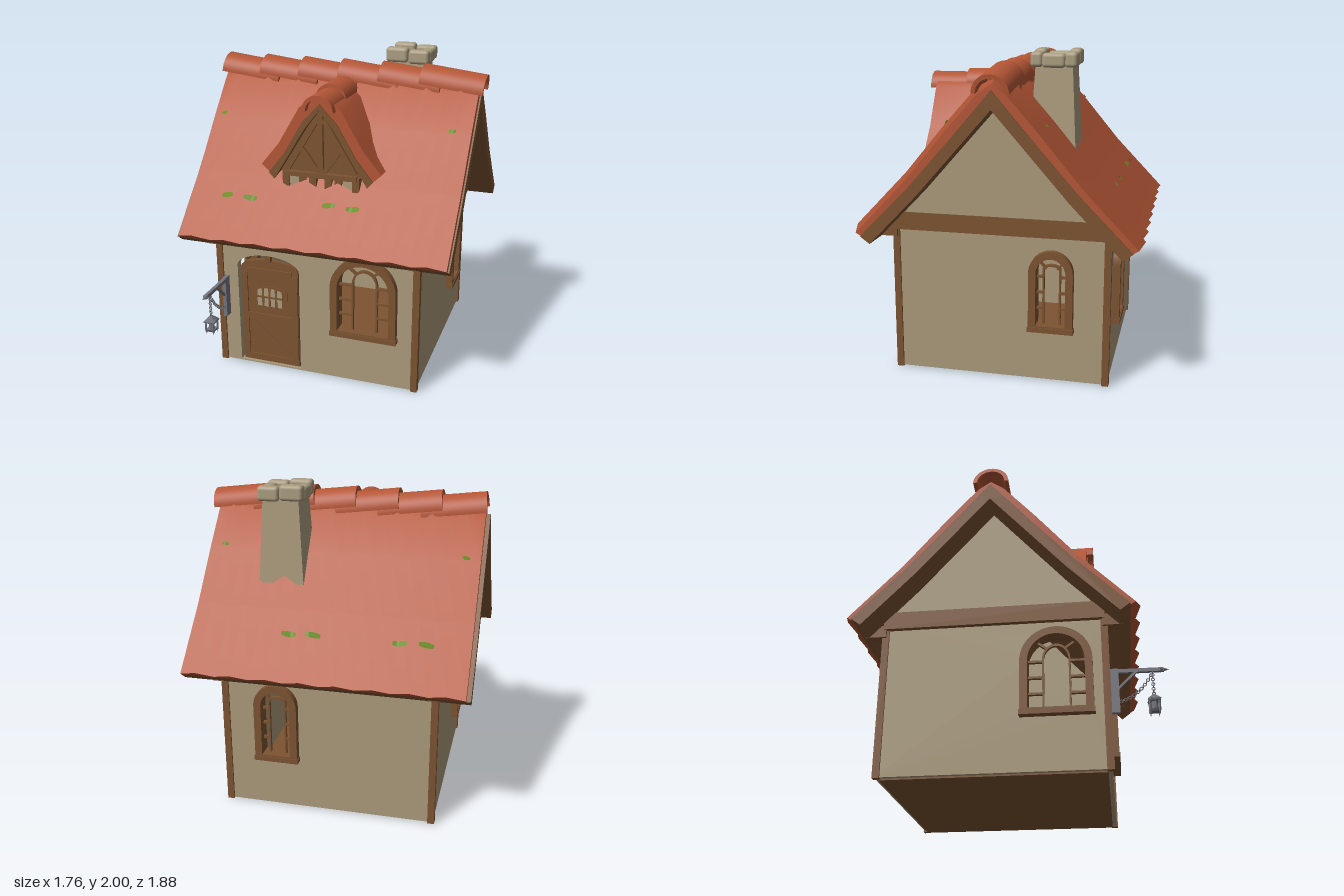
import * as THREE from 'three';
import { toCreasedNormals } from 'three/addons/utils/BufferGeometryUtils.js';
import { RoundedBoxGeometry } from 'three/addons/geometries/RoundedBoxGeometry.js';

const mat = (name, color, side = THREE.FrontSide) => {
  const m = new THREE.MeshStandardMaterial({ color, side });
  m.name = name;
  return m;
};

export function createModel() {
  const tile = mat('clay tile', 0xb45636, THREE.DoubleSide);
  const wood = mat('timber', 0x7c5331);
  const plaster = mat('plaster', 0xaa9a7b, THREE.DoubleSide);
  const stone = mat('chimney stone', 0xaa9d80);
  const metal = mat('iron', 0x75757e);
  const moss = mat('moss', 0x6a8c22, THREE.DoubleSide);
  const house = new THREE.Group();
  house.name = 'cottage';
  const CX = -0.015, CZ = -0.07;

  // ---- helpers ----
  const add = (parent, name, geo, m, x = 0, y = 0, z = 0) => {
    const mesh = new THREE.Mesh(geo, m);
    mesh.name = name;
    mesh.position.set(x, y, z);
    parent.add(mesh);
    return mesh;
  };
  const group = (parent, name, x = 0, y = 0, z = 0, ry = 0) => {
    const g = new THREE.Group();
    g.name = name;
    g.position.set(x, y, z);
    g.rotation.y = ry;
    parent.add(g);
    return g;
  };
  const box = (p, name, m, w, h, d, x, y, z) => add(p, name, new THREE.BoxGeometry(w, h, d), m, x, y, z);
  // beam lying in the local xy plane between two points
  const beam = (p, name, m, [x0, y0], [x1, y1], width, depth, z) => {
    const b = box(p, name, m, Math.hypot(x1 - x0, y1 - y0), width, depth, (x0 + x1) / 2, (y0 + y1) / 2, z);
    b.rotation.z = Math.atan2(y1 - y0, x1 - x0);
  };
  const extrude = (shape, depth) =>
    toCreasedNormals(new THREE.ExtrudeGeometry(shape, { depth, bevelEnabled: false, curveSegments: 14 }), 0.6);
  const poly = (pts) => new THREE.Shape(pts.map(([x, y]) => new THREE.Vector2(x, y)));
  const mirrored = (outer, inner) => poly([
    ...outer, ...inner.slice().reverse(),
    ...inner.slice(1).map(([x, y]) => [-x, y]), ...outer.slice(1).reverse().map(([x, y]) => [-x, y])]);
  const arch = (Type, cx, w, y0, spring, top) => {
    const s = new Type();
    s.moveTo(cx - w / 2, y0);
    s.lineTo(cx + w / 2, y0);
    s.lineTo(cx + w / 2, spring);
    s.absellipse(cx, spring, w / 2, top - spring, 0, Math.PI, false);
    s.lineTo(cx - w / 2, y0);
    return s;
  };
  const grid = (fn, nu, nv) => {
    const pos = [], idx = [];
    for (let j = 0; j <= nv; j++) for (let i = 0; i <= nu; i++) pos.push(...fn(i / nu, j / nv));
    for (let j = 0; j < nv; j++) for (let i = 0; i < nu; i++) {
      const a = j * (nu + 1) + i, b = a + nu + 1;
      idx.push(a, b, a + 1, a + 1, b, b + 1);
    }
    const g = new THREE.BufferGeometry();
    g.setAttribute('position', new THREE.Float32BufferAttribute(pos, 3));
    g.setIndex(idx);
    g.computeVertexNormals();
    return g;
  };

  // ---- walls with arched openings and windows ----
  const addWindow = (wall, u, w, spring, top) => {
    const g = group(wall, 'window', u);
    const frame = arch(THREE.Shape, 0, w, 0.33, spring, top);
    frame.holes.push(arch(THREE.Path, 0, w - 0.09, 0.37, spring, top - 0.045));
    add(g, 'windowFrame', extrude(frame, 0.1), wood, 0, 0, -0.055);
    box(g, 'windowSill', wood, w + 0.01, 0.03, 0.11, 0, 0.345, -0.005);
    const bx = w * 0.18, half = w / 2 - 0.03;
    const inner = arch(THREE.Shape, 0, 2 * bx + 0.014, 0.36, spring + 0.02, top - 0.09);
    inner.holes.push(arch(THREE.Path, 0, 2 * bx - 0.008, 0.37, spring + 0.02, top - 0.105));
    add(g, 'innerArch', extrude(inner, 0.02), wood, 0, 0, -0.02);
    for (const s of [-1, 1]) {
      for (const y of [0.47, 0.57, 0.67])
        box(g, 'windowBar', wood, half - bx, 0.014, 0.02, s * (half + bx) / 2, y, -0.01);
      beam(g, 'archBar', wood, [s * bx * 0.7, top - 0.12], [s * w * 0.32, top - 0.06], 0.014, 0.02, -0.01);
    }
  };
  const addWall = (name, outline, x, z, ry, win, door) => {
    const g = group(house, name, x, 0, z, ry);
    const s = poly(outline);
    const [u, w, spring, top] = win;
    s.holes.push(arch(THREE.Path, u, w - 0.06, 0.36, spring, top - 0.03));
    if (door) s.holes.push(arch(THREE.Path, -0.335, 0.42, 0.02, 0.7, 0.79));
    add(g, name + 'Panel', extrude(s, 0.05), plaster, 0, 0, -0.05);
    addWindow(g, ...win);
    return g;
  };
  const rect = (a, b) => [[a, 0.01], [b, 0.01], [b, 0.95], [a, 0.95]];
  const side = (a, b) => [[a, 0.01], [b, 0.01], [b, 0.97], [a, 0.97]];
  const big = [0.42, 0.66, 0.87], small = [0.27, 0.7, 0.84];
  const front = addWall('frontWall', rect(-0.67, 0.635), 0, 0.595, 0, [0.305, ...big], true);
  addWall('backWall', rect(-0.635, 0.67), 0, -0.73, Math.PI, [-0.305, ...small]);
  const left = addWall('leftWall', side(-0.595, 0.73), 0.64, 0, Math.PI / 2, [0.385, ...small]);
  const right = addWall('rightWall', side(-0.73, 0.595), -0.675, 0, -Math.PI / 2, [0.3, ...big]);
  // gables, flush with the beams below them
  for (const [wall, c] of [[left, 0.07], [right, -0.07]])
    add(wall, 'gable', extrude(poly([[c - 0.65, 0.96], [c + 0.65, 0.96], [c, 1.72]]), 0.075), plaster, 0, 0, -0.05);
  box(house, 'floor', wood, 1.27, 0.02, 1.28, CX, 0.01, CZ);

  // ---- timber frame: corner posts and gable beams ----
  for (const [s, x] of [[-1, -0.664], [1, 0.631]]) {
    for (const z of [-0.72, 0.585]) box(house, 'cornerPost', wood, 0.042, 0.94, 0.042, x, 0.475, z);
    box(house, 'gableBeam', wood, 0.08, 0.11, 1.32, x + s * 0.002, 0.975, CZ);
    for (const z of [-0.775, 0.635]) box(house, 'eaveBeam', wood, 0.07, 0.075, 0.12, x, 0.91, z);
  }

  // ---- door ----
  const door = group(front, 'door', -0.335, 0, -0.035);
  add(door, 'doorLeaf', extrude(arch(THREE.Shape, 0, 0.39, 0.02, 0.69, 0.75), 0.03), wood, 0, 0, -0.015);
  for (const s of [-1, 1]) box(door, 'doorStile', wood, 0.04, 0.63, 0.012, s * 0.172, 0.345, 0.018);
  for (const y of [0.05, 0.35, 0.67]) box(door, 'doorRail', wood, 0.31, 0.04, 0.012, 0, y, 0.018);
  beam(door, 'doorBrace', wood, [-0.14, 0.32], [0.14, 0.08], 0.04, 0.01, 0.018);
  add(door, 'doorPaneFrame', extrude(arch(THREE.Shape, 0, 0.24, 0.42, 0.54, 0.57), 0.006), wood, 0, 0, 0.013);
  add(door, 'doorPane', extrude(arch(THREE.Shape, 0, 0.17, 0.43, 0.535, 0.555), 0.006), plaster, 0, 0, 0.017);
  for (const x of [-0.045, 0, 0.045]) box(door, 'paneBar', wood, 0.014, 0.13, 0.01, x, 0.49, 0.021);
  box(door, 'paneCrossbar', wood, 0.18, 0.012, 0.01, 0, 0.495, 0.021);
  for (const y of [0.16, 0.25]) box(door, 'backPlank', wood, 0.44, 0.05, 0.02, 0, y, -0.025);
  box(door, 'keystone', wood, 0.035, 0.045, 0.03, 0, 0.77, 0.018);

  // ---- main roof: timber deck under ribbed tiles ----
  const top = [[0, 1.86], [0.11, 1.805], [0.3, 1.59], [0.55, 1.29], [0.87, 0.957]];
  const deck = [[0, 1.8], [0.09, 1.695], [0.27, 1.485], [0.51, 1.215], [0.81, 0.912]];
  const deckGeo = extrude(mirrored(deck, [[0, 1.69], [0.45, 1.178], [0.75, 0.868]]), 1.73).rotateY(Math.PI / 2);
  add(house, 'roofDeck', deckGeo, wood, -0.88, 0, CZ);
  const X0 = -0.855, X1 = 0.84, pitch = (X1 - X0) / 8;
  const along = (pts, t) => {
    const k = Math.min(3, Math.floor(t)), f = t - k;
    return [0, 1].map((c) => pts[k][c] * (1 - f) + pts[k + 1][c] * f);
  };
  const surface = (dir, x, t, lift = 0, rib = 0.04) => {
    const u = (x - X0) / pitch;
    const dip = rib * Math.abs(2 * (u - Math.floor(u)) - 1) - lift;
    const [d, y] = along(top, t);
    return [x, y - dip * 0.66, CZ + dir * Math.max(0, d - dip * 0.75)];
  };
  const under = (dir, x, t) => {
    const [d, y] = along(deck, t);
    return [x, y, CZ + dir * d];
  };
  const mixX = (u) => X0 + (X1 - X0) * u;
  for (const dir of [-1, 1]) {
    // ribs are shaded softly with the normals of the plain slope
    const ribbed = grid((u, v) => surface(dir, mixX(u), v * 4), 16, 4);
    ribbed.setAttribute('normal', grid((u, v) => surface(dir, mixX(u), v * 4, 0, 0), 16, 4).attributes.normal);
    add(house, 'roofTiles', ribbed, tile);
    add(house, 'eaveEdge', grid((u, v) => (v ? under : surface)(dir, mixX(u), 4), 16, 1), tile);
    for (const x of [X0, X1])
      add(house, 'vergeEdge', grid((u, v) => (v ? under : surface)(dir, x, u * 4), 4, 1), tile);
    // moss tufts hugging the tiles
    for (const [x, t, w] of [[-0.6, 3.34, 0.085], [-0.445, 3.34, 0.085], [0.07, 3.34, 0.085], [0.22, 3.34, 0.085],
      [-0.77, 1.97, 0.045], [0.73, 1.97, 0.045]])
      add(house, 'mossTuft', grid((u, v) =>
        surface(dir, x + (u - 0.5) * w, t + (v - 0.5) * 0.08 * (0.6 + 0.4 * Math.sin(u * Math.PI)), 0.007), 8, 1), moss);
  }

  // ---- ridge tiles ----
  const halfPipe = (r, len) => {
    const s = new THREE.Shape();
    s.absarc(0, 0, r, 0, Math.PI, false);
    s.absarc(0, 0, r - 0.025, Math.PI, 0, true);
    return extrude(s, len);
  };
  for (let i = 0; i < 6; i++) {
    const r = add(house, 'ridgeTile', halfPipe(0.11, 0.4).rotateY(Math.PI / 2), tile, -0.865 + i * 0.267, 1.828, CZ);
    r.rotation.z = -0.12;
  }

  // ---- dormer ----
  const dormer = group(house, 'dormer', CX, 0, 0);
  const dTop = [[0, 1.8], [0.06, 1.79], [0.13, 1.735], [0.27, 1.5], [0.385, 1.36]];
  const dMid = [[0, 1.765], [0.11, 1.65], [0.23, 1.445], [0.335, 1.315]];
  const dLow = [[0, 1.73], [0.1, 1.6], [0.21, 1.42], [0.3, 1.275]];
  add(dormer, 'dormerTiles', extrude(mirrored(dTop, dMid), 0.465), tile, 0, 0, 0.02);
  add(dormer, 'dormerBarge', extrude(mirrored(dMid, dLow), 0.2), wood, 0, 0, 0.295);
  add(dormer, 'dormerFace', extrude(poly([[-0.27, 1.32], [0.27, 1.32], [0.09, 1.61], [0, 1.74], [-0.09, 1.61]]), 0.1), wood, 0, 0, 0.36);
  box(dormer, 'dormerSill', wood, 0.46, 0.03, 0.05, 0, 1.32, 0.47);
  box(dormer, 'kingPost', wood, 0.035, 0.4, 0.02, 0, 1.53, 0.475);
  for (const s of [-1, 1]) {
    beam(dormer, 'dormerBrace', wood, [s * 0.02, 1.34], [s * 0.12, 1.48], 0.03, 0.02, 0.472);
    beam(dormer, 'dormerStrut', wood, [s * 0.22, 1.34], [s * 0.02, 1.67], 0.03, 0.02, 0.47);
    box(dormer, 'dormerPlaster', plaster, 0.06, 0.09, 0.1, s * 0.17, 1.275, 0.43);
    for (const x of [0.05, 0.115, 0.225]) box(dormer, 'dormerPost', wood, 0.045, 0.09, 0.1, s * x, 1.28, 0.435);
  }
  [[0.02, 1.747, 0.27], [0.27, 1.724, 0.26]].forEach(([z, y, len]) =>
    add(dormer, 'dormerRidgeTile', halfPipe(0.1, len), tile, 0, y, z));

  // ---- chimney: open tapered shaft with a ring of stones ----
  const chimney = group(house, 'chimney', 0.33, 0, -0.35);
  const shaft = new THREE.CylinderGeometry(0.11 * Math.SQRT2, 0.14 * Math.SQRT2, 0.53, 4, 1, true)
    .rotateY(Math.PI / 4).toNonIndexed();
  shaft.computeVertexNormals();
  add(chimney, 'chimneyShaft', shaft, plaster, 0, 1.665, 0);
  const block = (w, h, d, x, y, z) => add(chimney, 'capStone', new RoundedBoxGeometry(w, h, d, 3, 0.022), stone, x, y, z);
  for (const s of [-1, 1]) {
    block(0.145, 0.095, 0.075, -0.07, 1.9525, s * 0.105);
    block(0.135, 0.09, 0.075, 0.073, 1.943, s * 0.103);
    block(0.075, 0.085, 0.14, s * 0.105, 1.938, 0);
  }

  // ---- hanging lantern on an iron bracket ----
  const lamp = group(house, 'lantern', -0.62, 0, 0);
  box(lamp, 'bracketPlate', metal, 0.025, 0.27, 0.055, 0, 0.485, 0.625);
  box(lamp, 'bracketArm', metal, 0.022, 0.022, 0.27, 0, 0.605, 0.775);
  add(lamp, 'bracketTip', new THREE.ConeGeometry(0.018, 0.05, 6).rotateX(Math.PI / 2), metal, 0, 0.605, 0.915);
  box(lamp, 'bracketBrace', metal, 0.014, 0.15, 0.014, 0, 0.55, 0.7).rotation.x = 0.8;
  const chain = (curve, n) => {
    for (let i = 0; i <= n; i++) {
      const p = curve.getPoint(i / n), link = add(lamp, 'chainLink', new THREE.TorusGeometry(0.009, 0.003, 5, 8), metal, p.x, p.y, p.z);
      link.rotation.y = i % 2 ? Math.PI / 2 : 0;
    }
  };
  const V = (y, z) => new THREE.Vector3(0, y, z);
  chain(new THREE.LineCurve3(V(0.59, 0.845), V(0.46, 0.845)), 9);
  chain(new THREE.QuadraticBezierCurve3(V(0.59, 0.845), V(0.45, 0.77), V(0.42, 0.66)), 17);
  const cage = group(lamp, 'lanternCage', 0, 0, 0.845, Math.PI / 4);
  add(cage, 'lanternCap', new THREE.ConeGeometry(0.052, 0.04, 4), metal, 0, 0.44, 0);
  add(cage, 'lanternRim', new THREE.CylinderGeometry(0.05, 0.05, 0.012, 4), metal, 0, 0.416, 0);
  add(cage, 'lanternBase', new THREE.CylinderGeometry(0.04, 0.034, 0.015, 4), metal, 0, 0.355, 0);
  add(cage, 'lanternCore', new THREE.CylinderGeometry(0.016, 0.02, 0.06, 6), metal, 0, 0.385, 0);
  for (let i = 0; i < 4; i++) {
    const a = i * Math.PI / 2, x = Math.cos(a), z = Math.sin(a);
    box(cage, 'lanternBar', metal, 0.01, 0.07, 0.01, x * 0.037, 0.385, z * 0.037);
    add(cage, 'lanternSpike', new THREE.ConeGeometry(0.007, 0.03, 5).rotateX(Math.PI), metal, x * 0.034, 0.343, z * 0.034);
  }
  return house;
}
